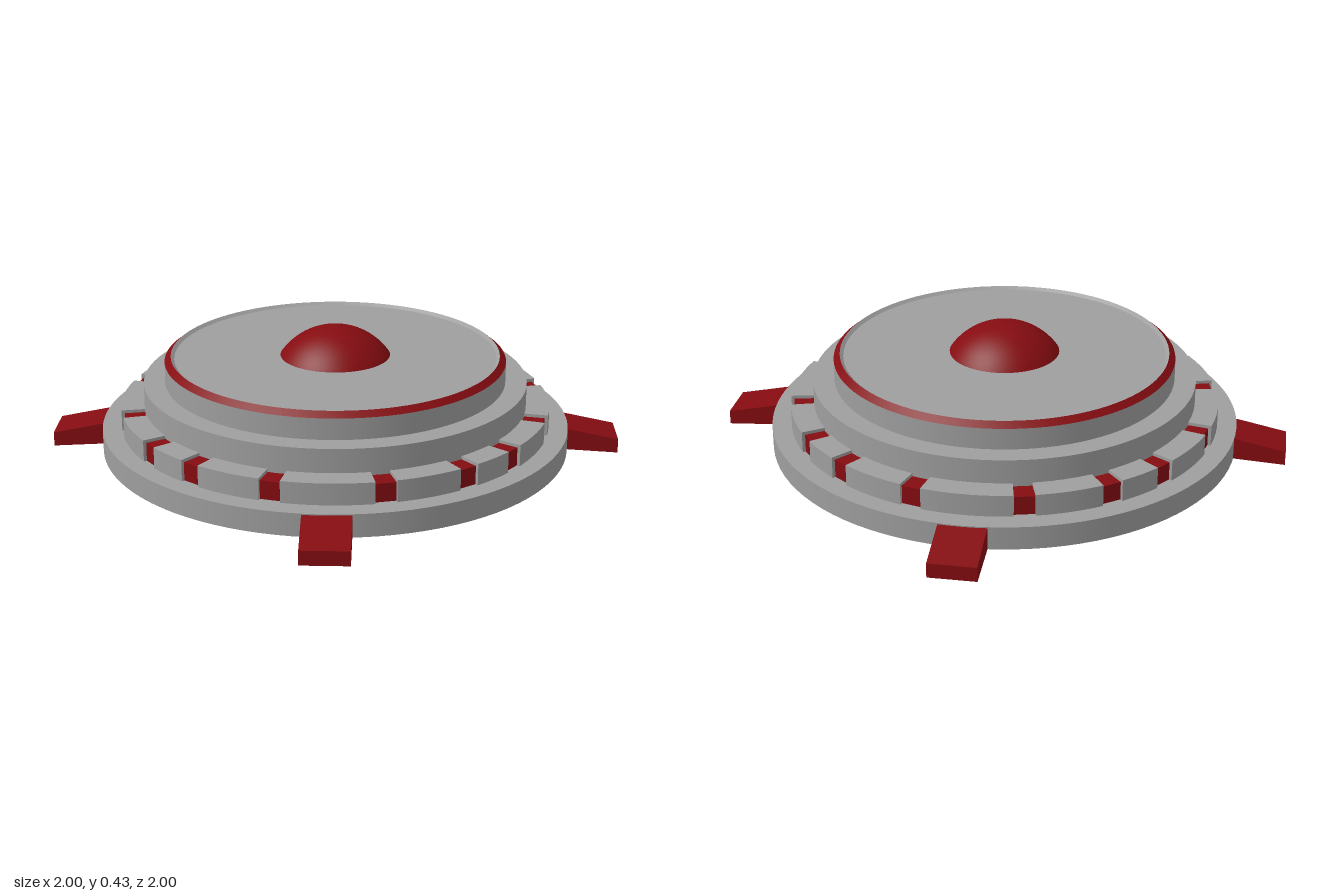
import * as THREE from 'three';
import { toCreasedNormals } from 'three/addons/utils/BufferGeometryUtils.js';

const grey = new THREE.MeshStandardMaterial({ color: 0x9e9e9e });
const red = new THREE.MeshStandardMaterial({ color: 0x850c11 });
const SEGMENTS = 96;

export function createModel() {
  const model = new THREE.Group();

  const add = (name, geometry, material, parent = model) => {
    const mesh = new THREE.Mesh(geometry, material);
    mesh.name = name;
    parent.add(mesh);
    return mesh;
  };
  // Round tier between two heights
  const tier = (name, y0, y1, radius) => {
    const g = new THREE.CylinderGeometry(radius, radius, y1 - y0, SEGMENTS);
    add(name, g.translate(0, (y0 + y1) / 2, 0), grey);
  };
  // Turned surface with sharp edges
  const turned = (name, profile, material) => {
    const g = new THREE.LatheGeometry(profile.map(([r, y]) => new THREE.Vector2(r, y)), SEGMENTS);
    add(name, toCreasedNormals(g, 0.35), material);
  };

  // Stacked round body with a chamfered trim and a slightly sunken deck
  tier('base', 0.01, 0.09, 0.825);
  tier('middleTier', 0.09, 0.248, 0.675);
  tier('upperTier', 0.248, 0.322, 0.6);
  turned('trimRing', [[0.6, 0.322], [0.578, 0.34]], red);
  turned('deck', [[0.578, 0.34], [0.566, 0.33], [0, 0.33]], grey);

  // Shallow dome: cap of a sphere
  const capRadius = 0.193, capHeight = 0.101;
  const R = (capRadius ** 2 + capHeight ** 2) / (2 * capHeight);
  const dome = new THREE.SphereGeometry(R, 64, 20, 0, Math.PI * 2, 0, Math.asin(capRadius / R));
  add('dome', dome.translate(0, 0.431 - R, 0), red);

  // Window angles, the same four in each quarter
  const angles = [];
  for (let q = 0; q < 4; q++) {
    for (const a of [14.2, 36.7, 53.3, 75.8]) angles.push(THREE.MathUtils.degToRad(a + q * 90));
  }

  // Ring of grey wall segments with a red window in each gap
  const ring = new THREE.Group();
  ring.name = 'windowRing';
  model.add(ring);
  const halfGap = 0.047;
  angles.forEach((a, i) => {
    const next = i + 1 < angles.length ? angles[i + 1] : angles[0] + Math.PI * 2;
    const shape = new THREE.Shape();
    shape.absarc(0, 0, 0.757, a + halfGap, next - halfGap, false);
    shape.absarc(0, 0, 0.66, next - halfGap, a + halfGap, true);
    const wall = new THREE.ExtrudeGeometry(shape, { depth: 0.075, bevelEnabled: false, curveSegments: 10 });
    add('wallSegment', toCreasedNormals(wall.rotateX(-Math.PI / 2).translate(0, 0.09, 0), 0.5), grey, ring);

    const pane = new THREE.BoxGeometry(0.085, 0.065, 0.07);
    add('window', pane.translate(0.7025, 0.1215, 0), red, ring).rotation.y = a;
  });

  // Four tapered feet
  const side = new THREE.Shape([[0.79, 0.012], [1, 0], [1, 0.05], [0.825, 0.086], [0.79, 0.086]]
    .map(([x, y]) => new THREE.Vector2(x, y)));
  const footGeometry = new THREE.ExtrudeGeometry(side, { depth: 0.16, bevelEnabled: false });
  footGeometry.translate(0, 0, -0.08);
  for (let i = 0; i < 4; i++) add('foot', footGeometry, red).rotation.y = i * Math.PI / 2;

  return model;
}
